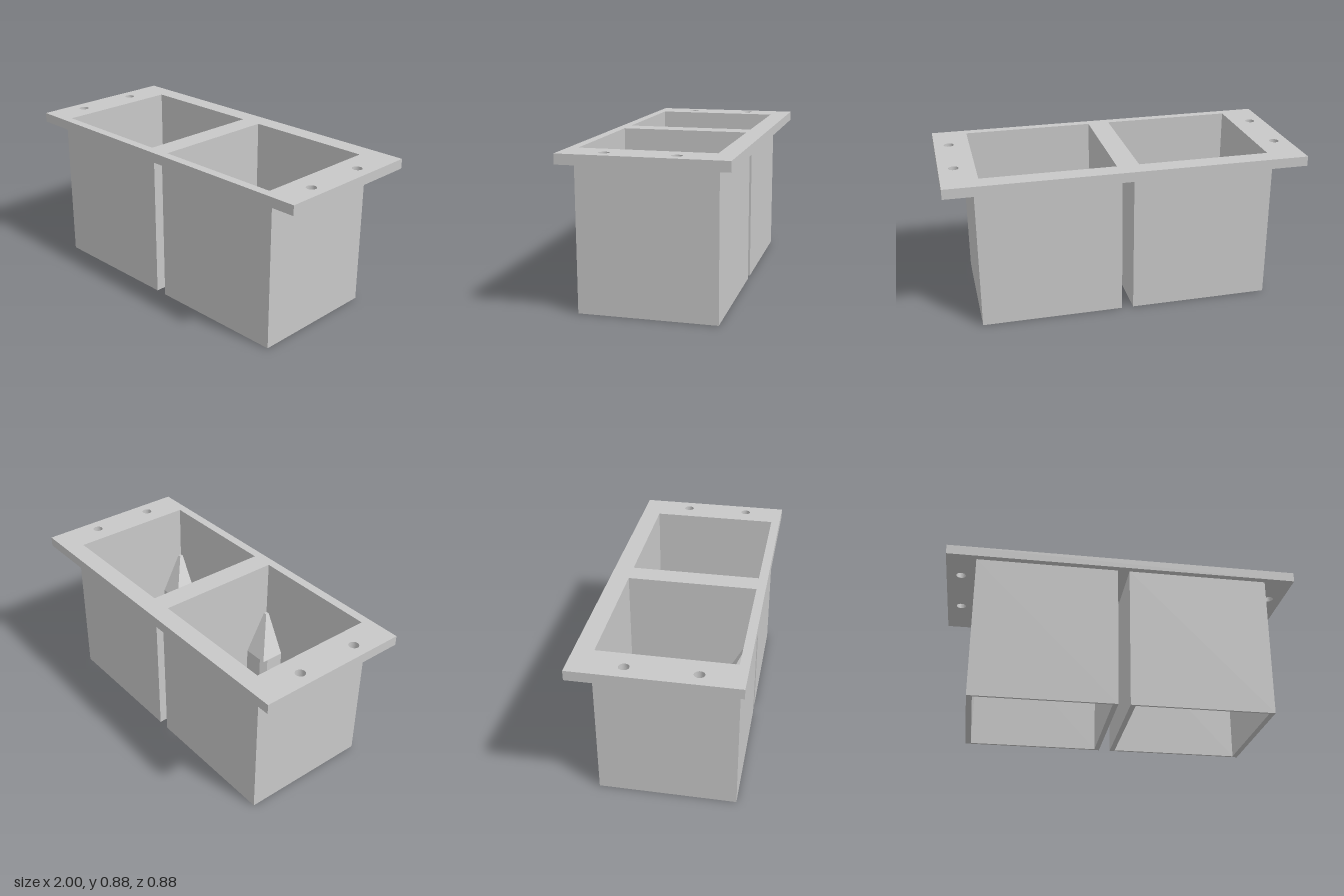
import * as THREE from 'three';

const PLATE_TOP = 0.875, PLATE_BOTTOM = 0.82;
const INNER = { x0: 0.062, x1: 0.802, z0: -0.335, z1: 0.39 };
const OUTER = { x0: 0.033, x1: 0.833, z0: -0.35, z1: 0.404 };

// Closed anticlockwise outline from [x, z] points
function outline(points, Type = THREE.Shape) {
  const corners = points.map(([x, z]) => new THREE.Vector2(x, z));
  if (THREE.ShapeUtils.isClockWise(corners)) corners.reverse();
  return new Type(corners);
}

// Rectangle on one side of the model (s = 1 left, -1 right)
const rect = (r, s, Type) =>
  outline([[s * r.x0, r.z0], [s * r.x1, r.z0], [s * r.x1, r.z1], [s * r.x0, r.z1]], Type);

const circle = (x, z, radius) => new THREE.Path().absarc(x, z, radius, 0, Math.PI * 2, true);

// Raises an x-z outline into a solid between two heights
function slab(shape, y0, y1) {
  const geometry = new THREE.ExtrudeGeometry(shape, { depth: y1 - y0, bevelEnabled: false, curveSegments: 16 });
  return geometry.rotateX(Math.PI / 2).translate(0, y1, 0);
}

export function createModel() {
  const model = new THREE.Group();
  model.name = 'doubleSocketFrame';
  const grey = new THREE.MeshStandardMaterial({ color: 0xc8c8c8 });
  grey.name = 'grey';

  const add = (parent, name, geometry) => {
    const mesh = new THREE.Mesh(geometry, grey);
    mesh.name = name;
    parent.add(mesh);
  };

  // Top flange with two openings and four screw holes
  const plate = outline([[-1, -0.441], [1, -0.441], [1, 0.441], [-1, 0.441]]);
  for (const s of [-1, 1]) {
    plate.holes.push(rect(INNER, s, THREE.Path));
    for (const z of [-0.158, 0.212]) plate.holes.push(circle(s * 0.917, z, 0.028));
  }
  add(model, 'flange', slab(plate, PLATE_BOTTOM, PLATE_TOP));

  // Screw boss in a front corner; d points from the corner into the sleeve
  function addBoss(cornerX, d) {
    const boss = new THREE.Group();
    boss.name = 'screwBoss';
    const w = 0.148, l = 0.143, c = 0.032, tip = 0.02, y0 = 0.138, y1 = 0.318, y2 = 0.545;
    const at = (u, v) => [cornerX + d * u, INNER.z1 - v];

    // Post with a chamfered free edge and a screw hole from below
    const post = outline([at(0, 0), at(w, 0), at(w, l - c), at(w - c, l), at(0, l)]);
    post.holes.push(circle(...at(w / 2, l / 2), 0.043));
    add(boss, 'post', slab(post, y0, y1));

    // Cap tapering towards the corner
    const cap = new THREE.BoxGeometry(w, y2 - y1, l);
    cap.translate(cornerX + d * w / 2, (y1 + y2) / 2, INNER.z1 - l / 2);
    const p = cap.attributes.position;
    for (let i = 0; i < p.count; i++) {
      if (p.getY(i) < y2 - 0.01) continue;
      if (Math.abs(p.getX(i) - cornerX) > w / 2) p.setX(i, cornerX + d * tip);
      if (INNER.z1 - p.getZ(i) > l / 2) p.setZ(i, INNER.z1 - tip);
    }
    const flat = cap.toNonIndexed();
    flat.computeVertexNormals();
    add(boss, 'taperedCap', flat);
    model.add(boss);
  }

  // Two open sleeves, each with two bosses
  for (const s of [-1, 1]) {
    const sleeve = rect(OUTER, s);
    sleeve.holes.push(rect(INNER, s, THREE.Path));
    add(model, s > 0 ? 'leftSleeve' : 'rightSleeve', slab(sleeve, 0, PLATE_BOTTOM));
    addBoss(s * INNER.x0, s);
    addBoss(s * INNER.x1, -s);
  }
  return model;
}
